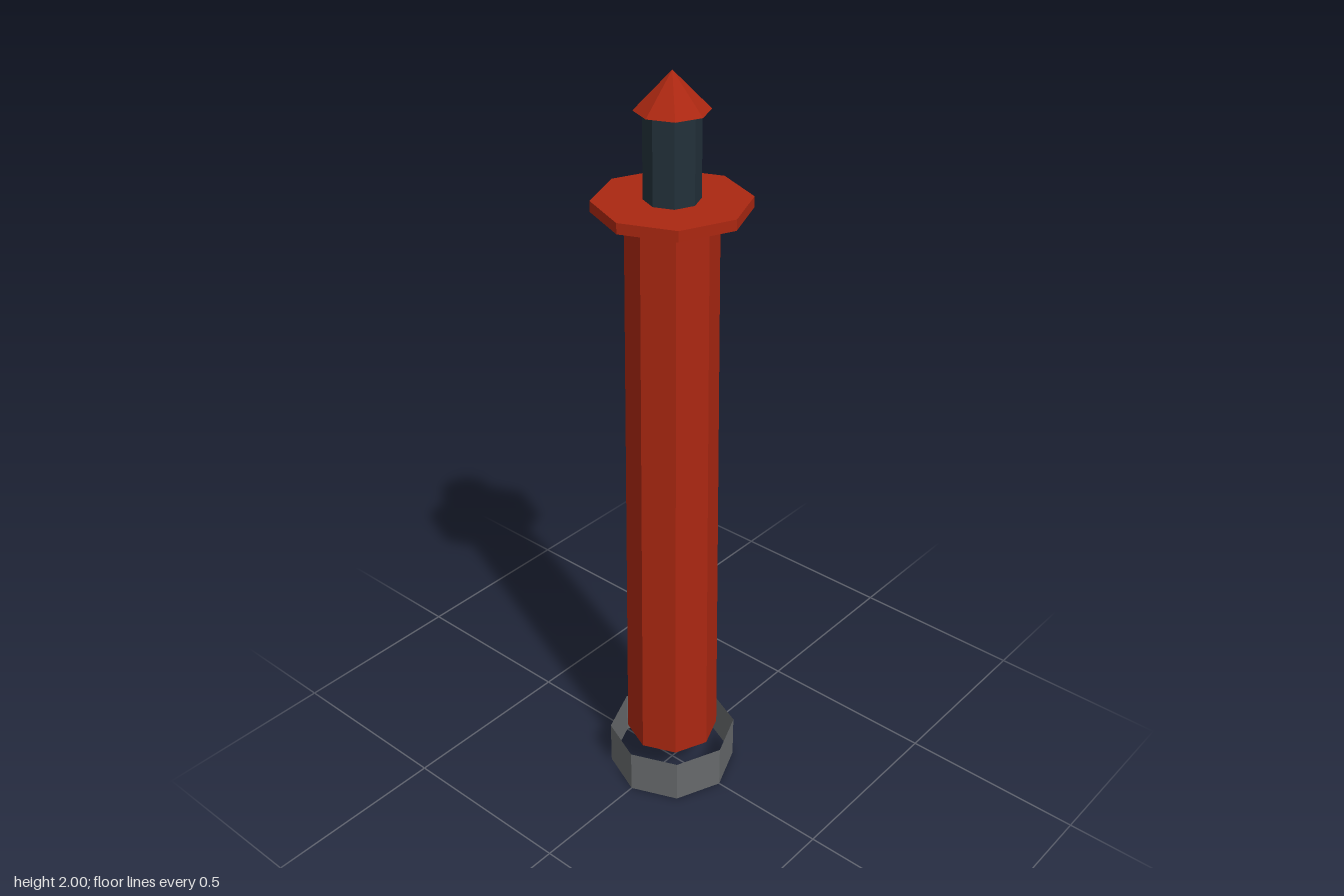
import * as THREE from 'three';

const SIDES = 8;

function material(name, color) {
  const m = new THREE.MeshStandardMaterial({ color, flatShading: true, side: THREE.DoubleSide });
  m.name = name;
  return m;
}

export function createModel() {
  const group = new THREE.Group();
  group.name = 'lighthouse';
  const red = material('red paint', 0xaa2711);
  const grey = material('grey stone', 0x66696b);
  const navy = material('dark lantern', 0x22303a);

  // Octagonal section from y0 to y1, corners on the x and z axes
  function section(name, mat, y0, r0, y1, r1, open) {
    const geometry = new THREE.CylinderGeometry(r1, r0, y1 - y0, SIDES, 1, open);
    geometry.translate(0, (y0 + y1) / 2, 0);
    const mesh = new THREE.Mesh(geometry, mat);
    mesh.name = name;
    group.add(mesh);
  }

  // Open stone ring around the foot, and the open tapered shaft standing above it
  section('baseRing', grey, 0, 0.174, 0.125, 0.174, true);
  section('tower', red, 0.125, 0.125, 1.66, 0.112, true);

  // Gallery: sloping underside, upright rim and flat deck
  const profile = [[0, 1.655], [0.112, 1.655], [0.19, 1.673], [0.19, 1.7], [0, 1.7]];
  const gallery = new THREE.Mesh(
    new THREE.LatheGeometry(profile.map(([r, y]) => new THREE.Vector2(r, y)), SIDES), red);
  gallery.name = 'gallery';
  group.add(gallery);

  // Lantern room and pointed roof
  section('lantern', navy, 1.7, 0.068, 1.912, 0.068, true);
  section('roof', red, 1.91, 0.089, 2, 0, false);

  return group;
}
